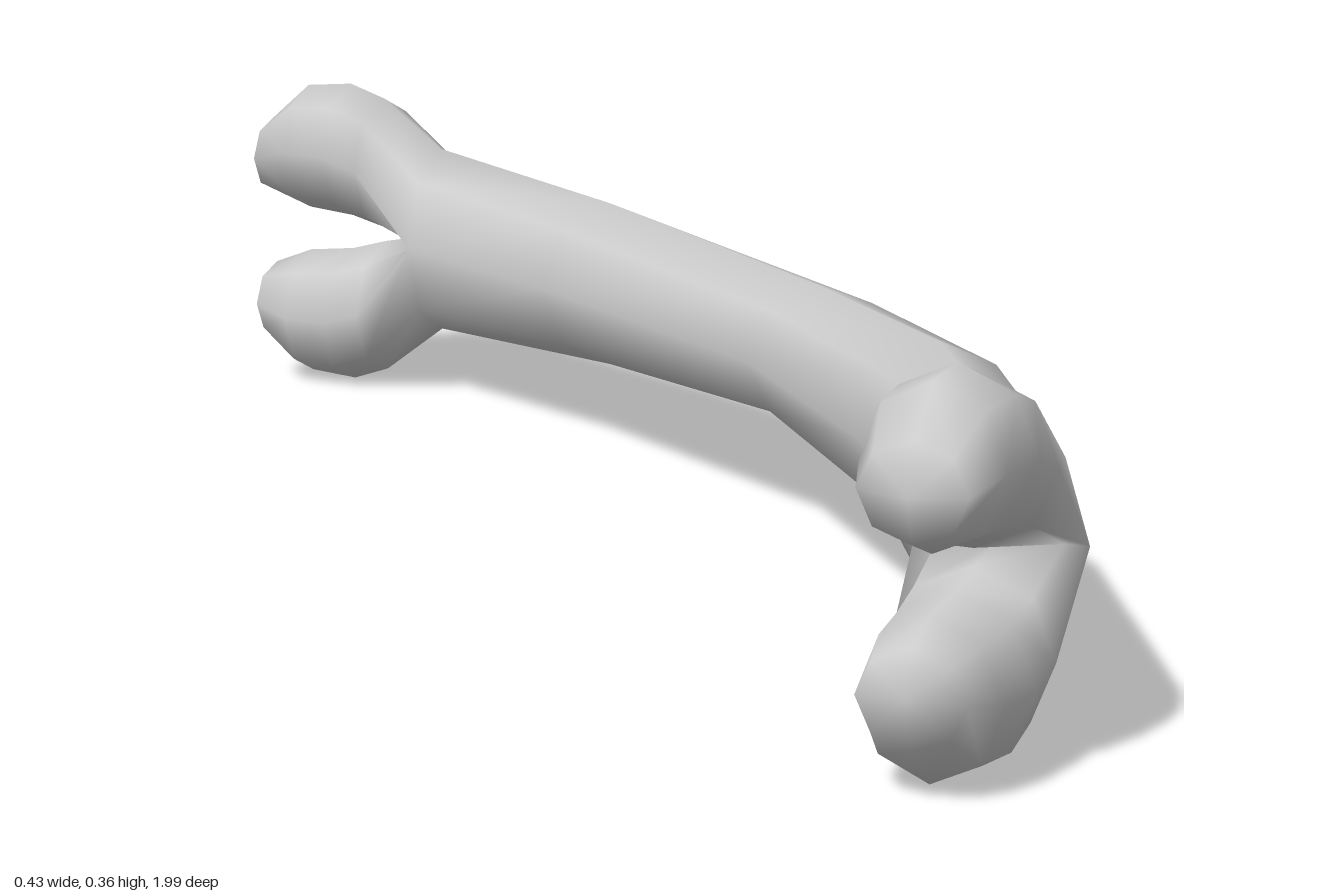
import * as THREE from 'three';
import { mergeVertices } from 'three/addons/utils/BufferGeometryUtils.js';

const SIDES = 8, MID_Y = 0.168, R = 0.08, END_H = 0.108;

// Appends the skin between successive rings, with optional end cap point
function loft(out, rings, flip, tip) {
  const tri = (a, b, c) => out.push(...a, ...(flip ? c : b), ...(flip ? b : c));
  for (let r = 0; r < rings.length - 1; r++) {
    const a = rings[r], b = rings[r + 1];
    for (let i = 0; i < SIDES; i++) {
      const j = (i + 1) % SIDES;
      tri(a[i], a[j], b[i]);
      tri(a[j], b[j], b[i]);
    }
  }
  if (tip) {
    const last = rings[rings.length - 1];
    for (let i = 0; i < SIDES; i++) tri(last[i], last[(i + 1) % SIDES], tip);
  }
}

// Unit circle steps used by every ring
const circle = Array.from({ length: SIDES }, (_, i) => {
  const a = (i / SIDES) * Math.PI * 2;
  return [Math.cos(a), Math.sin(a)];
});

// Point in the frame of one bone end: t outward, n across, y from the middle
const endPoint = (s, v, t, n, y) => [-0.022 - 0.69 * t + 0.72 * n, MID_Y + v * y, s * (0.8 + 0.72 * t + 0.69 * n)];

export function createModel() {
  const tris = [];

  // Bowed shaft, thinnest in the middle
  const endRing = (s) => circle.map(([c, h]) => endPoint(s, 1, 0, c * R, h * END_H));
  const stations = [[0.07, -0.465, 0.0, 0.092], [0.135, 0, 0, 0.074], [0.1, 0.385, 0.005, 0.09]];
  const middle = stations.map(([x, z, skew, h]) =>
    circle.map(([c, k]) => [x + c * 0.082, MID_Y - 0.002 + k * h, z + c * skew]));
  loft(tris, [endRing(-1), ...middle, endRing(1)], false);

  // Two rounded knobs on each end: [t, low y, high y, half width]
  const sections = [
    [0.075, 0.008, 0.163, 0.076],
    [0.12, 0.02, 0.178, 0.074],
    [0.178, 0.026, 0.173, 0.066],
    [0.226, 0.044, 0.132, 0.05],
  ];
  for (const s of [-1, 1]) {
    for (const v of [-1, 1]) {
      // First ring is half of the shaft end, closed by a straight line
      const root = circle.map(([c, h], i) => endPoint(s, v, 0, c * R, i > 4 ? 0 : Math.max(0, h) * END_H));
      const rings = sections.map(([t, lo, hi, w]) =>
        circle.map(([c, h]) => endPoint(s, v, t, c * w, (lo + hi) / 2 + h * (hi - lo) / 2)));
      loft(tris, [root, ...rings], s * v < 0, endPoint(s, v, 0.238, 0, 0.085));
    }
  }

  let geometry = new THREE.BufferGeometry();
  geometry.setAttribute('position', new THREE.Float32BufferAttribute(tris, 3));
  geometry = mergeVertices(geometry, 1e-4);
  geometry.computeVertexNormals();

  const bone = new THREE.Mesh(geometry, new THREE.MeshStandardMaterial({ color: 0xcccccc }));
  bone.name = 'bone';
  const group = new THREE.Group();
  group.name = 'curvedBone';
  group.add(bone);
  return group;
}
